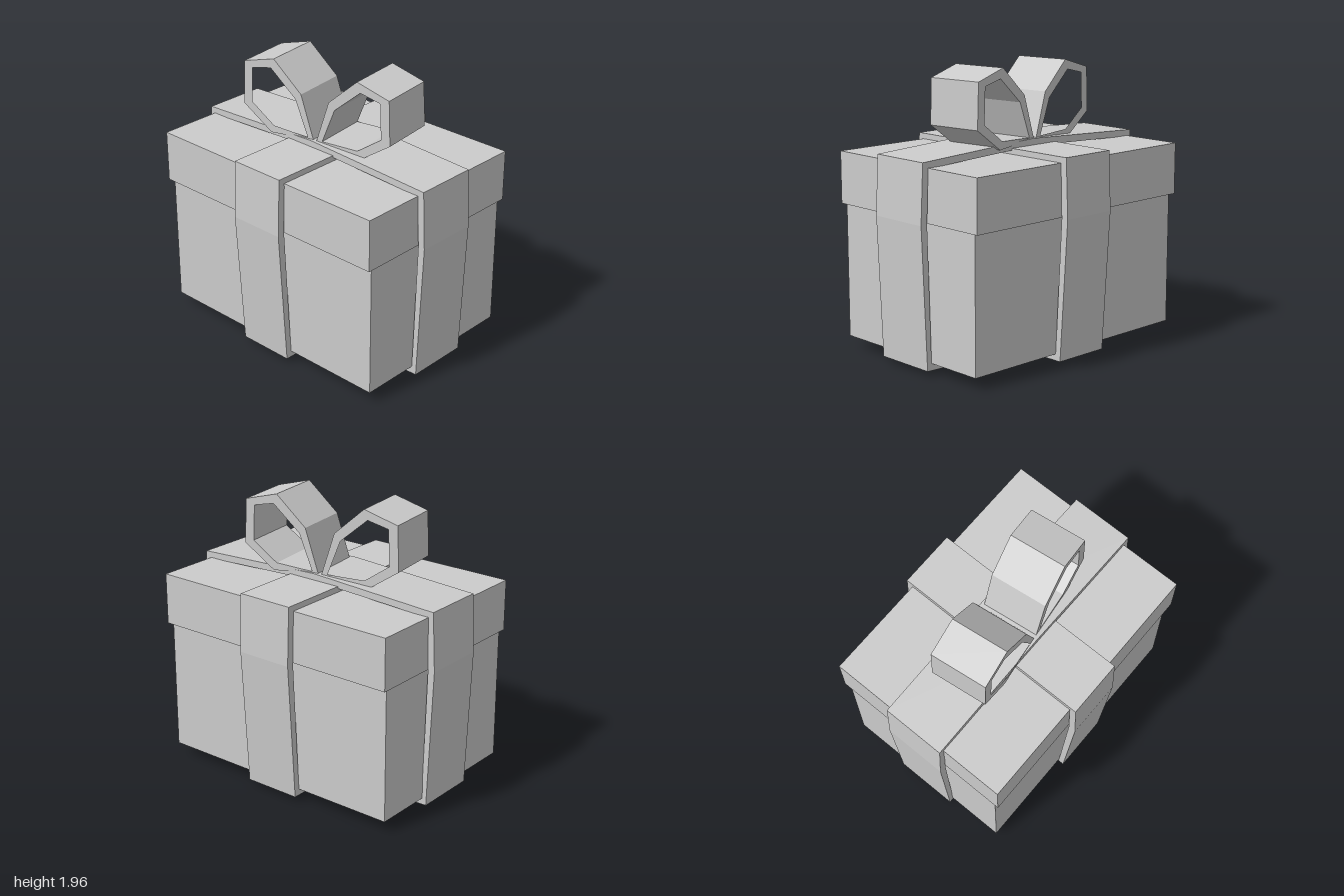
import * as THREE from 'three';

const material = new THREE.MeshStandardMaterial({ color: 0xcccccc, flatShading: true });
const toPoints = (list) => list.map(([x, y]) => new THREE.Vector2(x, y));

// Closed flat band: outer outline minus inner outline, extruded and centred on its width
function band(name, outer, inner, width) {
  const shape = new THREE.Shape(toPoints(outer));
  shape.holes.push(new THREE.Path(toPoints(inner)));
  const geometry = new THREE.ExtrudeGeometry(shape, { depth: width, bevelEnabled: false });
  geometry.translate(0, 0, -width / 2);
  const mesh = new THREE.Mesh(geometry, material);
  mesh.name = name;
  return mesh;
}

// Box given by its size and the height of its underside
function block(name, w, h, d, bottom) {
  const mesh = new THREE.Mesh(new THREE.BoxGeometry(w, h, d), material);
  mesh.name = name;
  mesh.position.set(-0.005, bottom + h / 2, 0);
  return mesh;
}

// Complete a half outline (bottom to top, x >= 0) with its mirror image
const mirrored = (half) => [
  ...half,
  ...half.filter(([x]) => x > 0).reverse().map(([x, y]) => [-x, y]),
];

export function createModel() {
  const model = new THREE.Group();

  // Box and its overhanging lid
  model.add(block('boxBody', 1.85, 0.93, 1.28, 0.085));
  model.add(block('lid', 1.88, 0.36, 1.355, 1.015));

  // Wide ribbon, bulging slightly on every side
  model.add(band('longRibbon',
    mirrored([[0, 0.005], [0.96, 0.04], [1, 1.01], [0.98, 1.415], [0, 1.46]]),
    mirrored([[0, 0.055], [0.925, 0.088], [0.95, 1.01], [0.936, 1.37], [0, 1.41]]),
    0.45));

  // Cross ribbon, flat on top and underneath
  const cross = band('crossRibbon',
    mirrored([[0.68, 0.04], [0.74, 1.01], [0.723, 1.415]]),
    mirrored([[0.64, 0.085], [0.687, 1.01], [0.677, 1.372]]),
    0.41);
  cross.rotation.y = Math.PI / 2;
  cross.position.x = -0.005;
  model.add(cross);

  // Bow: two mirrored angular loops, turned a little on the lid
  const loopOuter = [[0.012, 1.455], [0.37, 1.42], [0.6, 1.577], [0.588, 1.89], [0.338, 1.96], [0.113, 1.76]];
  const loopInner = [[0.06, 1.465], [0.345, 1.475], [0.53, 1.605], [0.52, 1.855], [0.365, 1.89], [0.16, 1.715]];
  const bow = new THREE.Group();
  bow.name = 'bow';
  for (const [name, side] of [['leftLoop', 1], ['rightLoop', -1]]) {
    const flip = (list) => list.map(([x, y]) => [side * x, y]);
    bow.add(band(name, flip(loopOuter), flip(loopInner), 0.405));
  }
  bow.rotation.y = 0.125;
  bow.position.x = -0.012;
  model.add(bow);

  return model;
}
